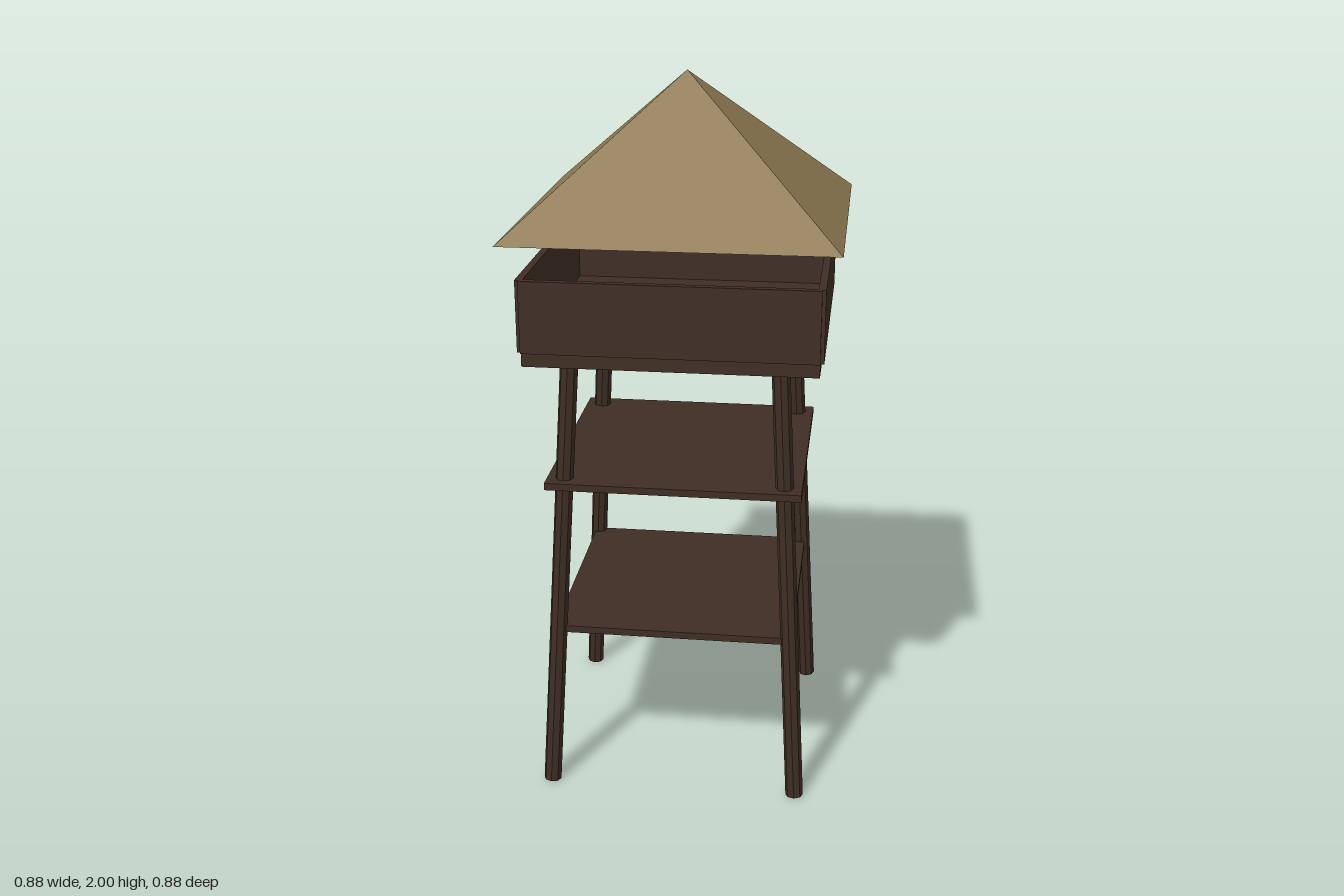
import * as THREE from 'three';

export function createModel() {
  const tower = new THREE.Group();
  tower.name = 'watchtower';

  const mat = (name, color) => {
    const m = new THREE.MeshStandardMaterial({ color, flatShading: true });
    m.name = name;
    return m;
  };
  const thatch = mat('thatch', 0x8b764e);
  const planks = mat('planks', 0x3f2d24);
  const poles = mat('poles', 0x3d2d22);

  const add = (name, geometry, material, x = 0, y = 0, z = 0) => {
    const mesh = new THREE.Mesh(geometry, material);
    mesh.name = name;
    mesh.position.set(x, y, z);
    tower.add(mesh);
    return mesh;
  };

  // Four round poles leaning in towards the platform
  const up = new THREE.Vector3(0, 1, 0);
  for (const sx of [-1, 1]) {
    for (const sz of [-1, 1]) {
      const foot = new THREE.Vector3(sx * 0.353, 0.002, sz * 0.353);
      const head = new THREE.Vector3(sx * 0.282, 1.3, sz * 0.282);
      const axis = head.clone().sub(foot);
      const leg = add('leg', new THREE.CylinderGeometry(0.025, 0.025, axis.length(), 8), poles);
      leg.position.copy(foot).add(head).multiplyScalar(0.5);
      leg.quaternion.setFromUnitVectors(up, axis.normalize());
    }
  }

  // Bracing decks between the legs
  add('lowerDeck', new THREE.BoxGeometry(0.67, 0.02, 0.67), planks, 0, 0.484, 0);
  add('upperDeck', new THREE.BoxGeometry(0.7, 0.02, 0.7), planks, 0, 0.924, 0);

  // Lookout platform
  add('platform', new THREE.BoxGeometry(0.78, 0.04, 0.78), planks, 0, 1.3, 0);

  // Parapet, one wall for each side
  for (let i = 0; i < 4; i++) {
    const a = i * Math.PI / 2;
    const wall = add('parapetWall', new THREE.BoxGeometry(0.78, 0.195, 0.02), planks,
      Math.sin(a) * 0.39, 1.416, Math.cos(a) * 0.39);
    wall.rotation.y = a;
  }

  // Pyramid roof floating above the parapet
  const roof = new THREE.ConeGeometry(0.44 * Math.SQRT2, 0.388, 4);
  roof.rotateY(Math.PI / 4);
  add('roof', roof, thatch, 0, 1.806, 0);

  return tower;
}
